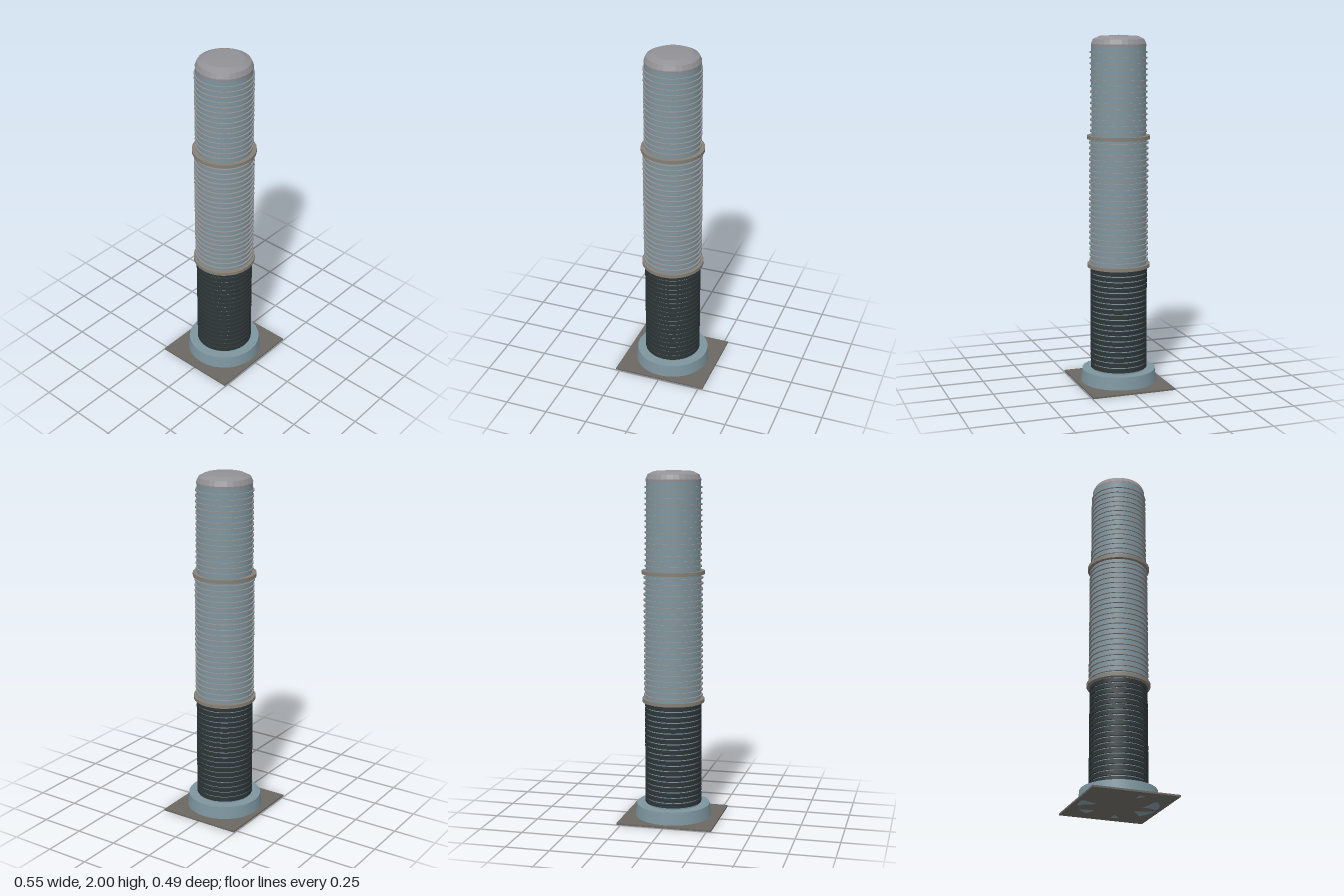
import * as THREE from 'three';

const SIDES = 28;
const mat = (color, flatShading = false) => new THREE.MeshStandardMaterial({ color, flatShading });

export function createModel() {
  const model = new THREE.Group();
  const steel = mat(0x7d959f);
  const dark = mat(0x2e3638);
  const grey = mat(0x8c9092);
  const brown = mat(0x857f76);
  const cap = mat(0x919195, true);

  const add = (name, geometry, material, y = 0, parent = model) => {
    const mesh = new THREE.Mesh(geometry, material);
    mesh.name = name;
    mesh.position.y = y;
    parent.add(mesh);
    return mesh;
  };

  // Upright disc or drum from y0 to y1
  const drum = (name, rTop, rBottom, y0, y1, material, parent) =>
    add(name, new THREE.CylinderGeometry(rTop, rBottom, y1 - y0, SIDES), material, (y0 + y1) / 2, parent);

  // Evenly spaced rings around the column
  const ribs = (name, radius, thickness, first, last, count, material) => {
    const group = new THREE.Group();
    group.name = name;
    for (let i = 0; i < count; i++) {
      const y = first + ((last - first) * i) / (count - 1);
      drum('rib', radius, radius, y - thickness / 2, y + thickness / 2, material, group);
    }
    model.add(group);
  };

  // Ground plate and collar
  add('basePlate', new THREE.BoxGeometry(0.55, 0.01, 0.49), mat(0x6b6862), 0.005);
  drum('baseCollar', 0.212, 0.221, 0, 0.083, steel);

  // Three column sections
  drum('lowerColumn', 0.155, 0.155, 0.08, 0.69, steel);
  drum('middleColumn', 0.159, 0.159, 0.69, 1.43, steel);
  drum('upperColumn', 0.154, 0.154, 1.43, 1.945, steel);

  // Ribs: thick and dark below, thin above
  ribs('lowerRibs', 0.163, 0.024, 0.105, 0.668, 19, dark);
  ribs('middleRibs', 0.169, 0.01, 0.725, 1.4, 22, grey);
  ribs('upperRibs', 0.162, 0.009, 1.465, 1.905, 15, grey);

  // Flanges between the sections
  for (const y of [0.695, 1.43]) drum('flange', 0.179, 0.179, y - 0.01, y + 0.01, brown);

  // Rounded cap
  const profile = [[0.155, 1.935], [0.156, 1.95], [0.144, 1.977], [0.108, 1.994], [0, 2]]
    .map(([r, y]) => new THREE.Vector2(r, y));
  add('cap', new THREE.LatheGeometry(profile, SIDES), cap);

  return model;
}
